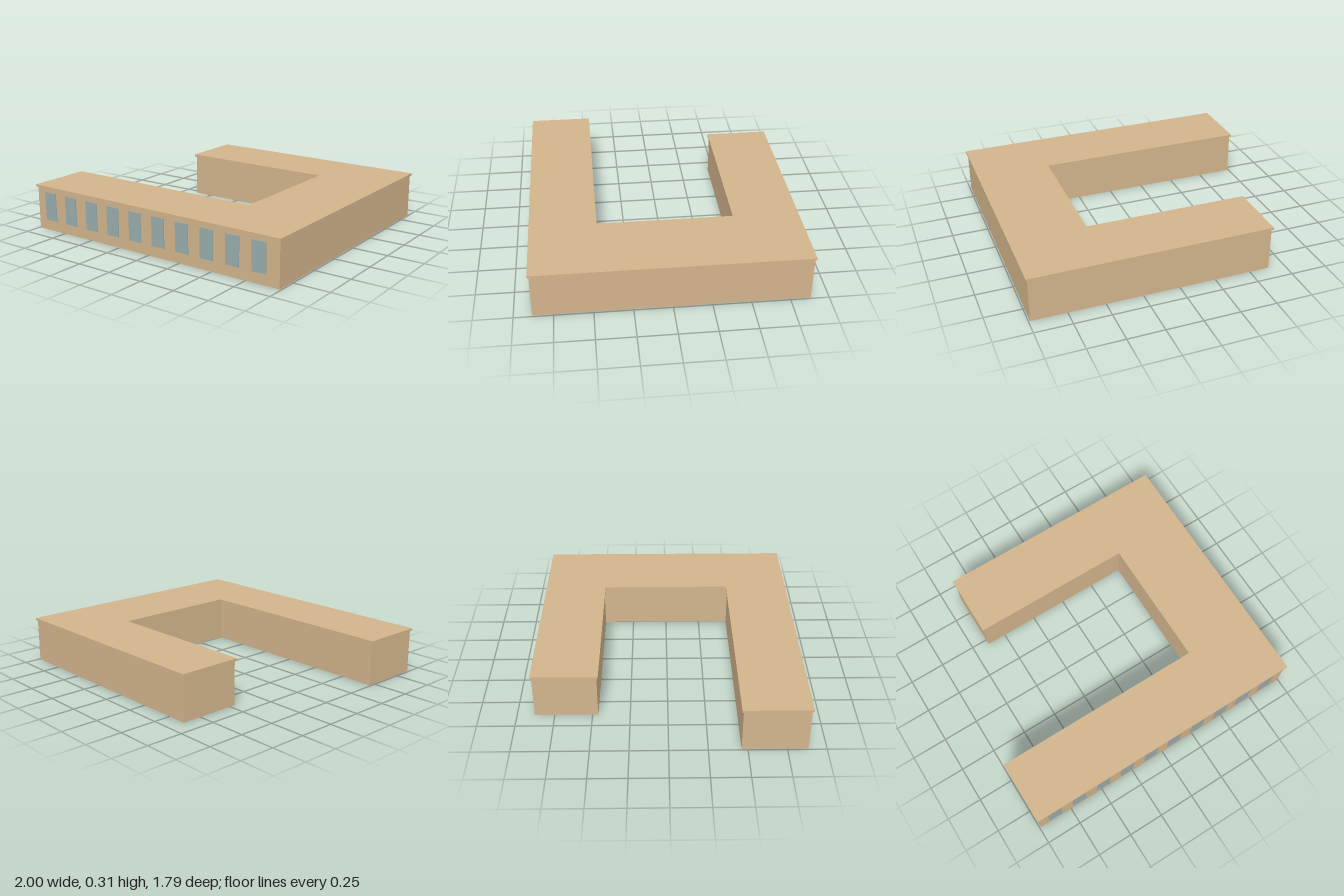
import * as THREE from 'three';

const tan = new THREE.MeshStandardMaterial({ color: 0xd2b48c });
const glass = new THREE.MeshStandardMaterial({ color: 0x98acae });

// C-shaped plan, inset evenly from the roof edge and extruded from y0 to y1
function planSlab(name, inset, y0, y1) {
  const i = inset;
  const plan = [
    [-1 + i, 0.893 - i], [1 - i, 0.893 - i], [1 - i, -0.893 + i], [-0.646 + i, -0.893 + i],
    [-0.646 + i, -0.452 - i], [0.482 + i, -0.452 - i], [0.482 + i, 0.45 + i], [-1 + i, 0.45 + i],
  ];
  // Shape y becomes -z once the extrusion is turned upright
  const shape = new THREE.Shape(plan.map(([x, z]) => new THREE.Vector2(x, -z)));
  const geometry = new THREE.ExtrudeGeometry(shape, { depth: y1 - y0, bevelEnabled: false });
  geometry.rotateX(-Math.PI / 2);
  geometry.translate(0, y0, 0);
  const mesh = new THREE.Mesh(geometry, tan);
  mesh.name = name;
  return mesh;
}

export function createModel() {
  const model = new THREE.Group();
  model.name = 'building';

  // Walls and the slightly overhanging flat roof
  model.add(planSlab('walls', 0.01, 0, 0.3));
  model.add(planSlab('roof', 0, 0.3, 0.315));

  // Row of ten windows, just proud of the front wall
  const windows = new THREE.Group();
  windows.name = 'windows';
  const pane = new THREE.BoxGeometry(0.1, 0.198, 0.01);
  for (let n = 0; n < 10; n++) {
    const mesh = new THREE.Mesh(pane, glass);
    mesh.name = `window${n + 1}`;
    mesh.position.set(-0.87 + n * 0.1908, 0.172, 0.883);
    windows.add(mesh);
  }
  model.add(windows);
  return model;
}
